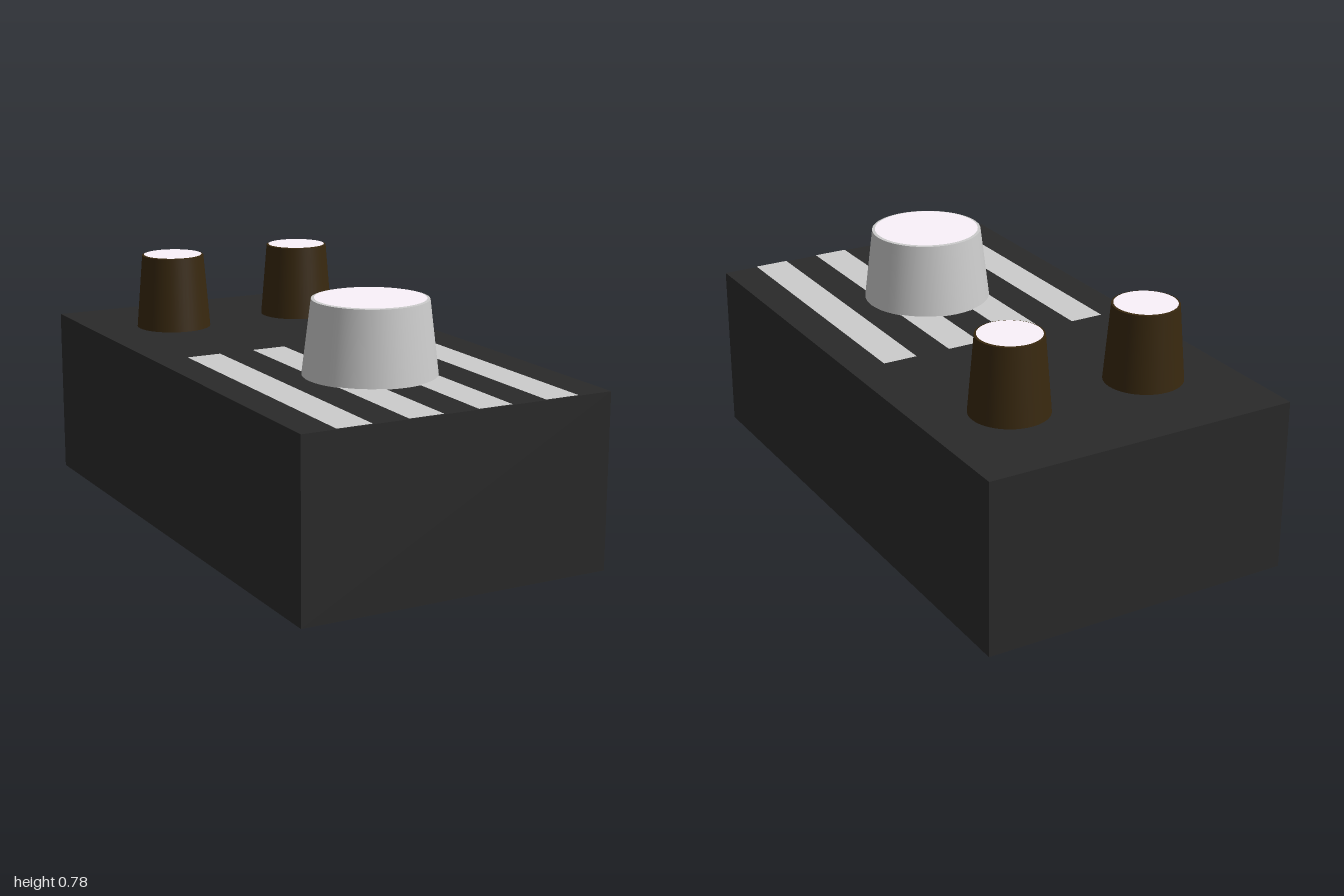
import * as THREE from 'three';

const mat = (color) => new THREE.MeshStandardMaterial({ color });

export function createModel() {
  const model = new THREE.Group();
  model.name = 'effectPedal';
  const H = 0.54, W = 1.0, L = 1.78;
  const black = mat(0x2a2a2a), brown = mat(0x38280f), grey = mat(0xcccccc), pale = mat(0xfbf3fb);

  const add = (name, geometry, material, x, y, z, parent = model) => {
    const mesh = new THREE.Mesh(geometry, material);
    mesh.name = name;
    mesh.position.set(x, y, z);
    parent.add(mesh);
    return mesh;
  };

  // Plain box housing
  add('housing', new THREE.BoxGeometry(W, H, L), black, 0, H / 2, 0);

  // Four flat stripes running to the front edge
  const z0 = -0.065, z1 = L / 2;
  for (let i = 0; i < 4; i++) {
    const stripe = new THREE.PlaneGeometry(0.111, z1 - z0).rotateX(-Math.PI / 2);
    add('stripe', stripe, grey, -0.338 + i * 0.223, H + 0.002, (z0 + z1) / 2);
  }

  // Tapered knob with a pale disc on top
  const knob = (name, x, z, rTop, rBottom, h, rCap, material) => {
    const group = new THREE.Group();
    group.name = name;
    group.position.set(x, H, z);
    add('body', new THREE.CylinderGeometry(rTop, rBottom, h, 48), material, 0, h / 2, 0, group);
    add('cap', new THREE.CircleGeometry(rCap, 48).rotateX(-Math.PI / 2), pale, 0, h + 0.002, 0, group);
    model.add(group);
  };
  knob('footSwitch', 0, 0.378, 0.176, 0.204, 0.228, 0.167, grey);
  for (const s of [-1, 1]) knob('controlKnob', s * 0.23, -0.539, 0.101, 0.121, 0.238, 0.095, brown);

  // The whole unit stands turned on the floor
  model.rotation.y = -0.301;
  const root = new THREE.Group();
  root.add(model);
  return root;
}
